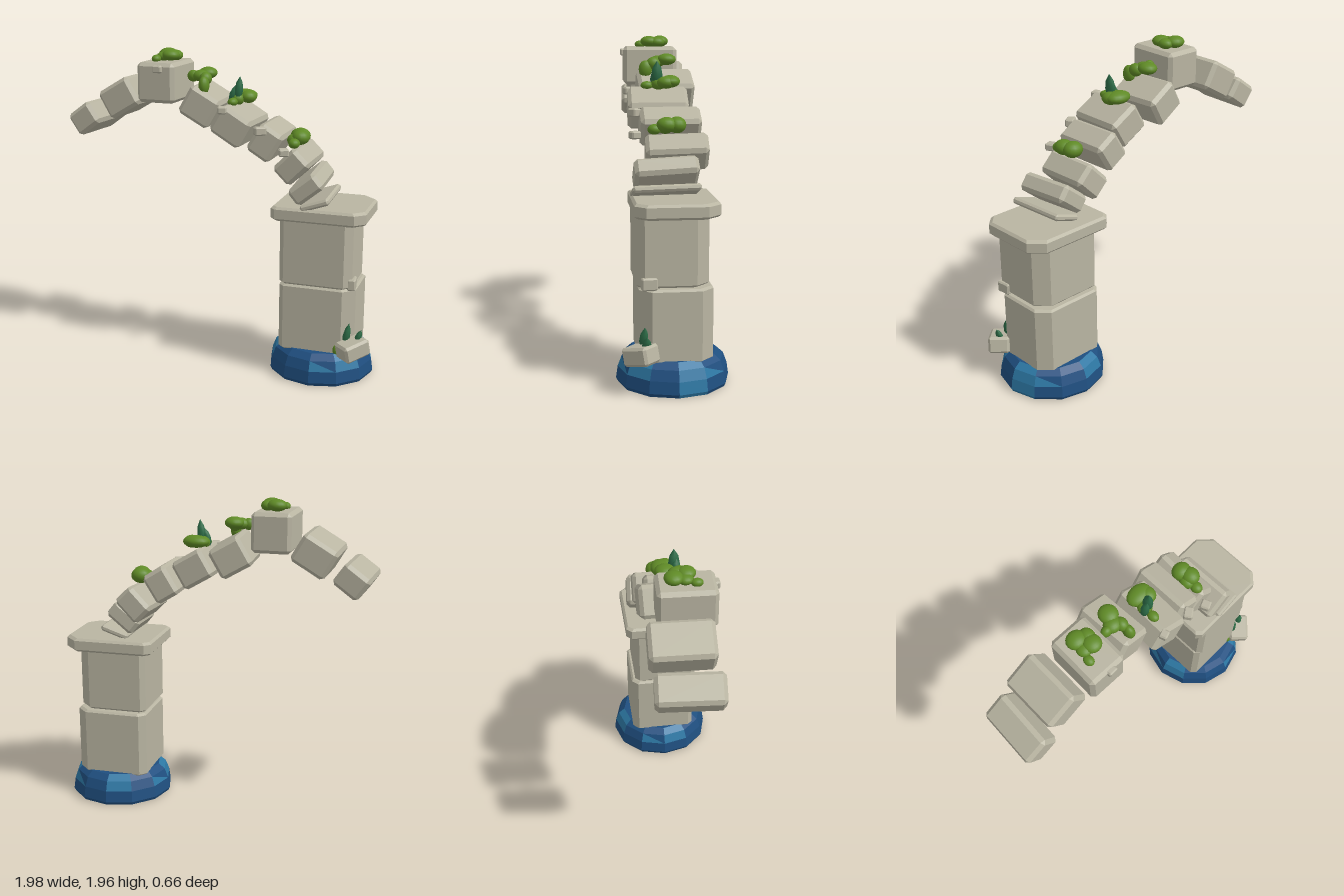
import * as THREE from 'three';
import { ConvexGeometry } from 'three/addons/geometries/ConvexGeometry.js';

const mat = (name, color, flatShading = false) => {
  const m = new THREE.MeshStandardMaterial({ color, flatShading });
  m.name = name;
  return m;
};

// Box with flat chamfers on every edge
function chamferBox(w, h, d, b) {
  const pts = [];
  for (const x of [-1, 1]) for (const y of [-1, 1]) for (const z of [-1, 1]) {
    const X = w / 2, Y = h / 2, Z = d / 2;
    pts.push(
      new THREE.Vector3(x * X, y * (Y - b), z * (Z - b)),
      new THREE.Vector3(x * (X - b), y * Y, z * (Z - b)),
      new THREE.Vector3(x * (X - b), y * (Y - b), z * Z));
  }
  return new ConvexGeometry(pts);
}

// Upright slab with cut corners; cuts run: back left, back right, front right, front left in plan
function cutSlab([x0, x1], [z0, z1], [y0, y1], cuts, bevel) {
  const pts = [];
  const ring = (y, i) => {
    const [a, b, c, d] = cuts;
    const l = x0 + i, r = x1 - i, k = z0 + i, f = z1 - i;
    for (const [x, z] of [[l, k + a], [l + a, k], [r - b, k], [r, k + b],
      [r, f - c], [r - c, f], [l + d, f], [l, f - d]]) pts.push(new THREE.Vector3(x, y, z));
  };
  ring(y0, bevel); ring(y0 + bevel, 0); ring(y1 - bevel, 0); ring(y1, bevel);
  return new ConvexGeometry(pts);
}

export function createModel() {
  const root = new THREE.Group();
  root.name = 'brokenArch';
  const stone = mat('stone', 0xb9b5a2, true);
  const deepBlue = mat('deepBlue', 0x1f4f80, true);
  const paleBlue = mat('paleBlue', 0x2d78a4, true);
  const moss = mat('moss', 0x5f8a26);
  const leaf = mat('leaf', 0x2c6b46);

  const add = (name, geo, material, pos = [0, 0, 0], rot = [0, 0, 0], parent = root) => {
    const m = new THREE.Mesh(geo, material);
    m.name = name;
    m.position.set(...pos);
    m.rotation.set(...rot);
    parent.add(m);
    return m;
  };

  // Faceted foundation with some paler facets
  const profile = [[0, 0], [0.318, 0], [0.328, 0.02], [0.318, 0.09], [0.295, 0.15], [0.255, 0.185], [0, 0.185]]
    .map(([r, y]) => new THREE.Vector2(r, y));
  const base = new THREE.LatheGeometry(profile, 12).toNonIndexed();
  const rows = profile.length - 1;
  const tris = base.attributes.position.count / 3;
  const paleSegments = [1, 3, 6, 9];
  for (let t = 0; t < tris; t++) {
    const seg = Math.floor(t / (tris / 12));
    const row = Math.floor((t % (tris / 12)) / (tris / 12 / rows));
    const pale = row >= 1 && row <= 4 && (
      (paleSegments.includes(seg) && (row > 2 || seg === 3)) || (seg % 4 === 0 && row === 3 && t % 2 === 0));
    base.addGroup(t * 3, 3, pale ? 1 : 0);
  }
  add('foundation', base, [deepBlue, paleBlue], [0.65, 0, 0]);

  // Pillar drums and capital
  add('lowerDrum', cutSlab([0.42, 0.885], [-0.21, 0.21], [0.17, 0.592], [0.04, 0.07, 0.07, 0.03], 0.012), stone);
  add('upperDrum', cutSlab([0.423, 0.868], [-0.187, 0.225], [0.598, 1.01], [0.03, 0.075, 0.045, 0.03], 0.012), stone);
  add('capital', cutSlab([0.366, 0.938], [-0.243, 0.237], [0.99, 1.075], [0.035, 0.08, 0.06, 0.03], 0.014), stone);

  // Arch stones: x, y, z, width, height, depth, tilt, yaw, pitch
  const blocks = [
    [-0.866, 1.519, -0.018, 0.185, 0.155, 0.385, 0.62, -0.08, 0],
    [-0.639, 1.658, -0.033, 0.235, 0.19, 0.37, 0.53, -0.04, 0],
    [-0.369, 1.77, 0.03, 0.245, 0.243, 0.34, 0, -0.04, 0],
    [-0.128, 1.626, -0.042, 0.215, 0.195, 0.35, -0.52, 0.04, 0],
    [0.11, 1.532, 0.028, 0.215, 0.188, 0.365, -0.53, -0.04, 0],
    [0.302, 1.436, -0.025, 0.165, 0.195, 0.36, -0.55, 0, 0],
    [0.47, 1.302, -0.045, 0.15, 0.195, 0.365, -0.78, -0.04, 0.03],
    [0.57, 1.194, 0.03, 0.115, 0.205, 0.37, -0.89, 0.03, 0.05],
    [0.63, 1.105, 0.037, 0.04, 0.18, 0.39, -1.24, 0.03, 0.02],
  ];
  blocks.forEach(([x, y, z, w, h, d, tilt, yaw, pitch], i) =>
    add(`archStone${i + 1}`, chamferBox(w, h, d, Math.min(0.022, w * 0.3)), stone, [x, y, z], [pitch, yaw, tilt]));

  // Small stone studs
  const studs = [
    [-0.356, 1.856, 0.195, 0.06, 0.045, 0.05, 0], [0.056, 1.632, 0.205, 0.055, 0.045, 0.05, 0.3],
    [0.286, 1.517, 0.185, 0.07, 0.05, 0.055, 0.6], [0.436, 1.4, 0.195, 0.06, 0.045, 0.06, 0.4],
    [0.862, 0.625, 0.155, 0.05, 0.07, 0.09, 0.1],
  ];
  studs.forEach(([x, y, z, w, h, d, yaw], i) =>
    add(`stud${i + 1}`, chamferBox(w, h, d, 0.008), stone, [x, y, z], [0, yaw, 0]));
  add('fallenStone', chamferBox(0.175, 0.105, 0.13, 0.014), stone, [0.89, 0.23, 0.205], [0, 0.8, 0.22]);

  // Moss clumps, each a set of ellipsoids: x, y, z, rx, ry, rz
  const ball = new THREE.SphereGeometry(1, 16, 12);
  const clumps = [
    [[-0.38, 1.925, -0.04, 0.06, 0.036, 0.055], [-0.335, 1.925, 0.035, 0.055, 0.034, 0.055],
      [-0.32, 1.92, -0.015, 0.042, 0.032, 0.05], [-0.385, 1.915, 0.025, 0.045, 0.028, 0.045],
      [-0.41, 1.905, 0.085, 0.028, 0.024, 0.035]],
    [[-0.125, 1.815, -0.055, 0.058, 0.036, 0.06], [-0.15, 1.802, 0.0, 0.055, 0.036, 0.05],
      [-0.2, 1.8, 0.005, 0.037, 0.036, 0.03], [-0.11, 1.79, 0.03, 0.038, 0.04, 0.045],
      [-0.103, 1.755, 0.08, 0.032, 0.055, 0.042]],
    [[0.115, 1.69, -0.05, 0.082, 0.038, 0.06], [0.15, 1.685, -0.02, 0.05, 0.038, 0.055],
      [0.09, 1.675, 0.02, 0.045, 0.04, 0.045], [0.085, 1.665, 0.09, 0.03, 0.025, 0.038]],
    [[0.475, 1.46, -0.045, 0.062, 0.048, 0.055], [0.49, 1.462, 0.015, 0.055, 0.045, 0.06],
      [0.455, 1.445, 0.02, 0.045, 0.038, 0.05], [0.47, 1.435, 0.085, 0.035, 0.03, 0.04]],
    [[0.785, 0.205, 0.18, 0.026, 0.05, 0.04], [0.82, 0.18, 0.19, 0.03, 0.03, 0.04]],
  ];
  clumps.forEach((lobes, i) => {
    const g = new THREE.Group();
    g.name = `mossClump${i + 1}`;
    for (const [x, y, z, ...r] of lobes) add('mossLobe', ball, moss, [x, y, z], [0, 0, 0], g).scale.set(...r);
    root.add(g);
  });

  // Pointed leaves: x, y, z, length, radius, tilt
  const blade = new THREE.LatheGeometry([[0, 0], [0.7, 0.15], [1, 0.45], [0.75, 0.75], [0, 1]]
    .map(([r, y]) => new THREE.Vector2(r, y)), 8);
  const leaves = [
    [0.05, 1.65, 0.04, 0.12, 0.022, -0.35], [0.095, 1.65, 0.03, 0.165, 0.027, -0.1],
    [0.83, 0.23, 0.18, 0.15, 0.024, -0.2], [0.9, 0.25, 0.175, 0.1, 0.02, -0.35],
  ];
  leaves.forEach(([x, y, z, len, r, tilt], i) =>
    add(`leaf${i + 1}`, blade, leaf, [x, y, z], [0, 0, tilt]).scale.set(r, len, r * 1.3));
  return root;
}
